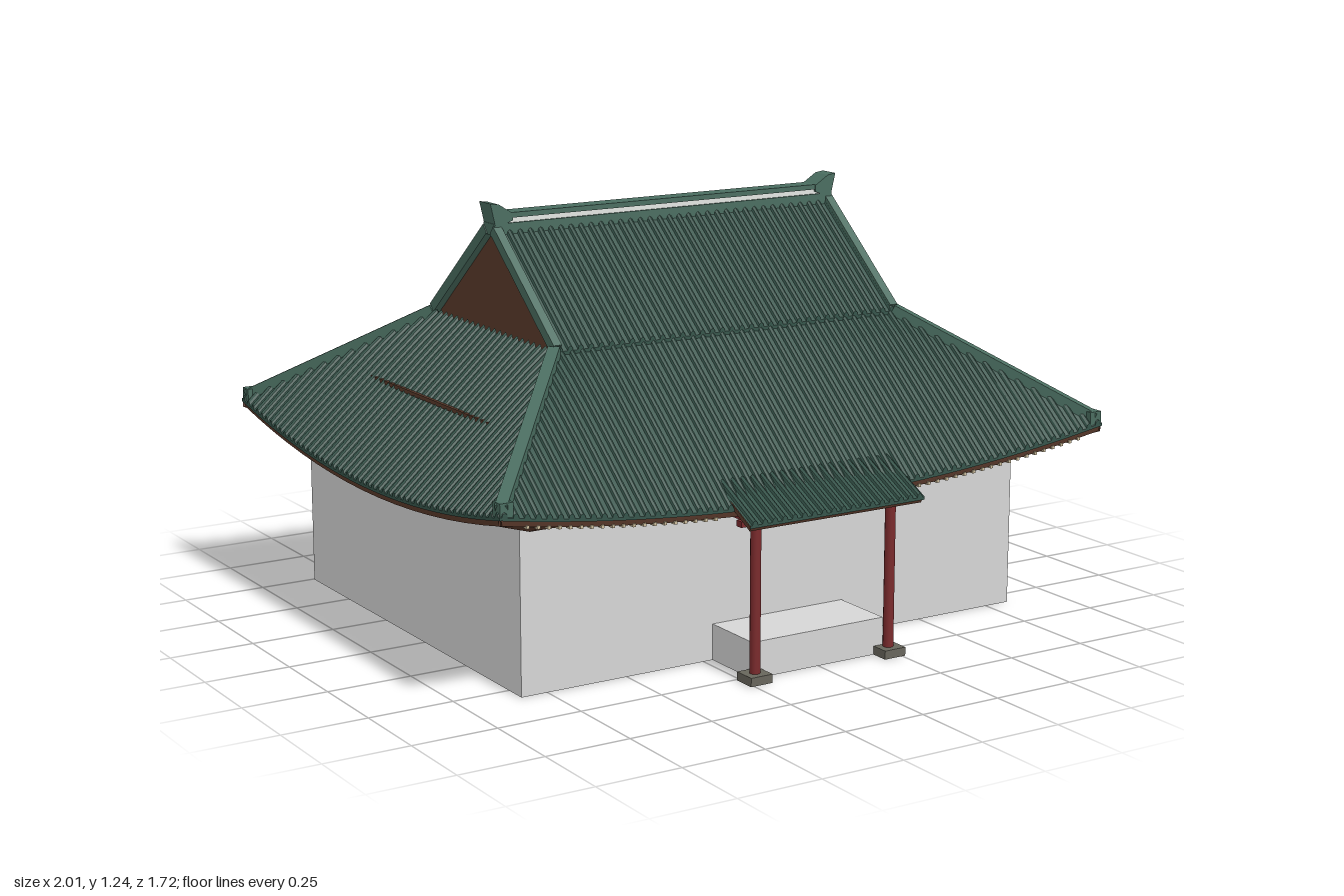
import * as THREE from 'three';

const mat = (name, color, extra = {}) => {
  const m = new THREE.MeshStandardMaterial({ color, ...extra });
  m.name = name;
  return m;
};

const ZC = -0.0425; // roof centre in z
const GX = 0.575, GZ = 0.36, EX = 1.0, EZ = 0.8175; // gable and eave half sizes
const TOP = 0.87;

// Turns (along, out, y) on one of four sides into a point: front, +x, back, -x
function place(k, a, out, y) {
  if (k === 0) return [a, y, ZC + out];
  if (k === 1) return [out, y, ZC - a];
  if (k === 2) return [-a, y, ZC - out];
  return [-out, y, ZC + a];
}

// Height of the hipped skirt: sagging in the middle, lifted at the corners
function skirtY(a, t, A0, A1) {
  const w = a / (A0 + (A1 - A0) * t);
  return TOP - t * (0.385 - 0.085 * w * w);
}

// Grid of points into a flat-faced geometry
function gridGeometry(cols) {
  const pos = [], idx = [], rows = cols[0].length;
  cols.forEach(c => c.forEach(p => pos.push(...p)));
  for (let i = 0; i < cols.length - 1; i++) {
    for (let j = 0; j < rows - 1; j++) {
      const p = i * rows + j, q = p + rows;
      idx.push(p, p + 1, q, q, p + 1, q + 1);
    }
  }
  const g = new THREE.BufferGeometry();
  g.setAttribute('position', new THREE.Float32BufferAttribute(pos, 3));
  g.setIndex(idx);
  const flat = g.toNonIndexed();
  flat.computeVertexNormals();
  return flat;
}

// Corrugated tile panel: flat pans with half-round caps, closed by a drop at the eave
const TILE = [[-0.5, 0], [-0.28, 0], [-0.2, 0.26], [0, 0.4], [0.2, 0.26], [0.28, 0]];
function tilePanel(k, W, rows, start, surface, drop) {
  const n = Math.round(2 * W / 0.033), p = 2 * W / n, cols = [];
  const column = (a, h) => {
    const t0 = start(Math.abs(a)), c = [];
    for (let j = 0; j <= rows; j++) {
      const [out, y] = surface(a, t0 + (1 - t0) * j / rows);
      c.push(place(k, a, out, y + h));
    }
    const [out, y] = surface(a, 1);
    c.push(place(k, a, out, y - drop));
    cols.push(c);
  };
  for (let i = 0; i < n; i++) {
    for (const [u, h] of TILE) column(-W + (i + 0.5 + u) * p, h * p);
  }
  column(W, 0);
  return gridGeometry(cols);
}

export function createModel() {
  const model = new THREE.Group();
  model.name = 'hallWithHipAndGableRoof';

  const wall = mat('pale wall', 0xd6d6d6);
  const tile = mat('green tile', 0x35544a, { flatShading: true, side: THREE.DoubleSide });
  const ridge = mat('light green ridge', 0x4a6d60);
  const wood = mat('brown wood', 0x5a3a2b, { side: THREE.DoubleSide });
  const red = mat('red paint', 0x7a2a2c);
  const stone = mat('grey stone', 0x68665c);
  const white = mat('white plaster', 0xe4e6e2);
  const tan = mat('rafter end tan', 0xcdbd9c);

  const add = (name, geo, material, x = 0, y = 0, z = 0) => {
    const m = new THREE.Mesh(geo, material);
    m.name = name;
    m.position.set(x, y, z);
    model.add(m);
    return m;
  };
  // Box given by its low and high corners
  const block = (name, material, x0, x1, y0, y1, z0, z1) =>
    add(name, new THREE.BoxGeometry(x1 - x0, y1 - y0, z1 - z0), material,
      (x0 + x1) / 2, (y0 + y1) / 2, (z0 + z1) / 2);
  // Bar between two points
  const bar = (name, material, a, b, w, h) => {
    const A = new THREE.Vector3(...a), B = new THREE.Vector3(...b);
    const m = add(name, new THREE.BoxGeometry(w, h, A.distanceTo(B)), material);
    m.position.copy(A).add(B).multiplyScalar(0.5);
    m.lookAt(B);
    return m;
  };

  // Hall body and entrance step
  block('hallBody', wall, -0.83, 0.83, 0, 0.47, -0.745, 0.57);
  block('entranceStep', wall, -0.22, 0.22, 0, 0.105, 0.57, 0.77);

  // Hipped skirt roof with soffit on four sides
  for (let k = 0; k < 4; k++) {
    const long = k % 2 === 0;
    const [A0, A1, O0, O1] = long ? [GX, EX, GZ, EZ] : [GZ, EZ, GX, EX];
    const start = a => Math.max(0, (a - A0) / (A1 - A0));
    const surface = (a, t) => [O0 + (O1 - O0) * t, skirtY(a, t, A0, A1)];
    add('skirtRoof', tilePanel(k, A1, 6, start, surface, 0.008), tile);

    // Fascia board and soffit running back to the wall top
    const cols = [];
    for (let i = 0; i <= 16; i++) {
      const s = i / 8 - 1, a = s * A1, y = skirtY(a, 1, A0, A1);
      const wallPoint = place(k, s * (long ? 0.82 : 0.65), long ? 0.65 : 0.82, 0.468);
      cols.push([place(k, a, O1 - 0.004, y - 0.004), place(k, a, O1 - 0.008, y - 0.024), wallPoint]);
    }
    add('soffit', gridGeometry(cols), wood);
  }

  // Upper roof slopes, front and back
  for (const k of [0, 2]) {
    add('upperRoof', tilePanel(k, 0.58, 2, () => 0,
      (a, t) => [0.015 + (GZ - 0.005) * t, 1.165 - 0.29 * t], 0.01), tile);
  }

  // Gable walls and sloping ridges
  const tri = new THREE.Shape([[-GZ, TOP - 0.01], [GZ, TOP - 0.01], [0, 1.16]]
    .map(p => new THREE.Vector2(...p)));
  const gable = new THREE.ExtrudeGeometry(tri, { depth: 1.124, bevelEnabled: false });
  gable.translate(0, 0, -0.562).rotateY(Math.PI / 2);
  add('gableWalls', gable, wood, 0, 0, ZC);
  for (const sx of [-1, 1]) {
    for (const sz of [-1, 1]) {
      bar('gableRidge', ridge, [sx * 0.57, 1.165, ZC + sz * 0.02],
        [sx * 0.57, TOP + 0.012, ZC + sz * GZ], 0.026, 0.03);
      bar('hipRidge', ridge, [sx * GX, TOP + 0.005, ZC + sz * GZ],
        [sx * 0.985, 0.583, ZC + sz * 0.802], 0.034, 0.036);
      add('hipEnd', new THREE.BoxGeometry(0.04, 0.045, 0.04), ridge,
        sx * 0.977, 0.583, ZC + sz * 0.795);
    }
  }

  // Main ridge with white band and flared ends
  block('mainRidgeBase', ridge, -0.58, 0.58, 1.15, 1.183, ZC - 0.032, ZC + 0.032);
  block('ridgeBand', white, -0.575, 0.575, 1.183, 1.197, ZC - 0.026, ZC + 0.026);
  block('mainRidgeCap', ridge, -0.575, 0.575, 1.197, 1.212, ZC - 0.03, ZC + 0.03);
  const flare = new THREE.Shape([[0.52, 1.19], [0.575, 1.17], [0.592, 1.242], [0.565, 1.238], [0.52, 1.21]]
    .map(p => new THREE.Vector2(...p)));
  const flareGeo = new THREE.ExtrudeGeometry(flare, { depth: 0.066, bevelEnabled: false });
  flareGeo.translate(0, 0, -0.033);
  add('ridgeEnd', flareGeo, ridge, 0, 0, ZC);
  add('ridgeEnd', flareGeo, ridge, 0, 0, ZC).rotation.y = Math.PI;

  // Purlins showing as slim lines through the tiles
  const purlin = (k, out, a0, a1, A0, A1, O0, O1) => {
    const t = (out - O0) / (O1 - O0), y = skirtY(0, t, A0, A1) + 0.011;
    bar('purlin', wood, place(k, a0, out, y), place(k, a1, out, y), 0.01, 0.012);
  };
  purlin(1, 0.78, -0.36, 0.36, GZ, EZ, GX, EX);
  purlin(3, 0.78, -0.36, 0.36, GZ, EZ, GX, EX);
  purlin(2, 0.6, -0.32, 0.42, GX, EX, GZ, EZ);

  // Rafter ends under the front eave
  for (let i = 0; i < 19; i++) {
    const x = 0.34 + i * 0.032;
    for (const s of [-1, 1]) {
      add('rafterEnd', new THREE.BoxGeometry(0.009, 0.009, 0.02), tan,
        s * x, skirtY(x, 1, GX, EX) - 0.024, 0.762);
    }
  }

  // Porch roof on two red columns
  add('porchRoof', tilePanel(0, 0.29, 2, () => 0,
    (a, t) => [0.7425 + 0.16 * t, 0.545 - 0.08 * t], 0.008), tile);
  bar('porchSoffit', wood, [0, 0.53, 0.7], [0, 0.453, 0.853], 0.57, 0.012);
  block('porchLintel', red, -0.28, 0.28, 0.445, 0.462, 0.778, 0.802);
  for (const s of [-1, 1]) {
    const x = s * 0.225;
    add('porchColumn', new THREE.CylinderGeometry(0.015, 0.015, 0.43, 14), red, x, 0.24, 0.79);
    block('columnBase', stone, x - 0.035, x + 0.035, 0, 0.025, 0.755, 0.825);
    block('porchBeam', red, x - 0.012, x + 0.012, 0.445, 0.462, 0.57, 0.84);
  }
  return model;
}
